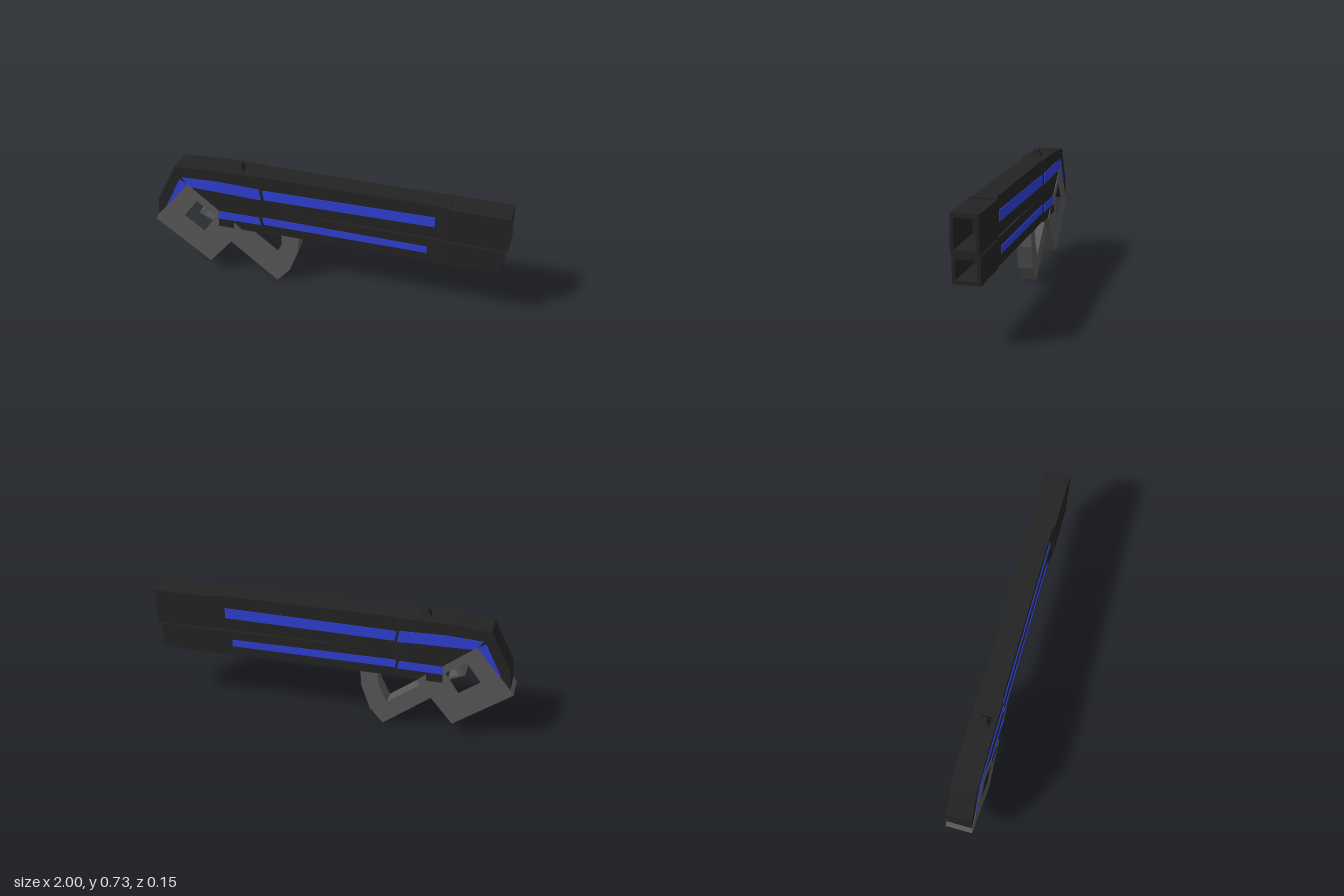
import * as THREE from 'three';

const std = (name, color) => {
  const m = new THREE.MeshStandardMaterial({ color });
  m.name = name;
  return m;
};

export function createModel() {
  const group = new THREE.Group();
  const black = std('black', 0x232323);
  const grey = std('grey', 0x575757);
  const blue = std('blue', 0x2f3fd2);

  const add = (name, geometry, material) => {
    const mesh = new THREE.Mesh(geometry, material);
    mesh.name = name;
    group.add(mesh);
    return mesh;
  };
  const poly = (pts, Type = THREE.Shape) => new Type(pts.map(([x, y]) => new THREE.Vector2(x, y)));

  // Side outline extruded across the width, from z0 to z1
  const slab = (name, pts, z0, z1, material, hole) => {
    const shape = poly(pts);
    if (hole) shape.holes.push(poly(hole, THREE.Path));
    const geo = new THREE.ExtrudeGeometry(shape, { depth: z1 - z0, bevelEnabled: false });
    return add(name, geo.translate(0, 0, z0), material);
  };
  const box = (name, x0, x1, y0, y1, z, material) =>
    add(name, new THREE.BoxGeometry(x1 - x0, y1 - y0, 2 * z)
      .translate((x0 + x1) / 2, (y0 + y1) / 2, 0), material);

  // Rear body, wrapped over the stock block
  slab('rearBody', [
    [-0.98, 0.345], [-0.97, 0.46], [-0.86, 0.68], [-0.62, 0.7], [-0.38, 0.7], [-0.38, 0.335],
    [-0.615, 0.335], [-0.615, 0.435], [-0.79, 0.575],
  ], -0.069, 0.069, black);

  // Long housings: plan outline with a waist, raised in y; edge(x, y) bends the seam side
  const housing = (name, y0, y1, edge) => {
    const half = [[-0.38, 0.069], [-0.34, 0.061], [-0.25, 0.061], [0.35, 0.061], [0.62, 0.061], [0.68, 0.071]];
    const plan = [...half.map(([x, z]) => [x, -z]), ...half.slice().reverse()];
    const geo = new THREE.ExtrudeGeometry(poly(plan), { depth: y1 - y0, bevelEnabled: false });
    geo.rotateX(-Math.PI / 2).translate(0, y0, 0);
    const p = geo.attributes.position;
    for (let i = 0; i < p.count; i++) p.setY(i, edge(p.getX(i), p.getY(i)));
    geo.computeVertexNormals();
    add(name, geo, black);
  };
  housing('upperHousing', 0.488, 0.7, (x, y) => (y < 0.6 && x > 0 ? y + 0.01 : y));
  housing('lowerHousing', 0.335, 0.488, (x, y) => (y > 0.4 && x > 0 ? y - 0.004 : y));
  box('seamCore', -0.3, 0.66, 0.46, 0.53, 0.048, black);

  // Square hollow barrels
  const barrel = (name, x1, y0, y1, h0, h1) => {
    const shape = poly([[-0.072, y0], [0.072, y0], [0.072, y1], [-0.072, y1]]);
    shape.holes.push(poly([[-0.055, h0], [-0.055, h1], [0.055, h1], [0.055, h0]], THREE.Path));
    const geo = new THREE.ExtrudeGeometry(shape, { depth: x1 - 0.67, bevelEnabled: false });
    add(name, geo.rotateY(Math.PI / 2).translate(0.67, 0, 0), black);
  };
  barrel('upperBarrel', 1, 0.492, 0.693, 0.515, 0.67);
  barrel('lowerBarrel', 0.975, 0.338, 0.485, 0.357, 0.463);

  // Sight on the top
  const sight = new THREE.CylinderGeometry(0.018, 0.043, 0.037, 4, 1).toNonIndexed();
  sight.rotateY(Math.PI / 4).computeVertexNormals();
  add('sight', sight.translate(-0.498, 0.717, 0.008), black);

  // Stock block with a through hole and a trigger in it
  slab('stock', [
    [-1, 0.315], [-0.79, 0.58], [-0.615, 0.44], [-0.615, 0.385], [-0.53, 0.38], [-0.475, 0.33], [-0.68, 0.08],
  ], -0.073, 0.073, grey, [[-0.74, 0.48], [-0.63, 0.4], [-0.705, 0.285], [-0.82, 0.37]]);
  slab('trigger', [
    [-0.68, 0.455], [-0.735, 0.395], [-0.64, 0.35], [-0.645, 0.37], [-0.7, 0.39], [-0.665, 0.435],
  ], -0.06, 0.06, grey);
  box('stockClamp', -0.615, -0.525, 0.337, 0.385, 0.0735, black);

  // Curved hand guard below the body
  slab('handGuard', [
    [-0.577, 0.23], [-0.288, 0.002], [-0.213, 0.09], [-0.163, 0.23], [-0.155, 0.345],
    [-0.255, 0.345], [-0.26, 0.25], [-0.31, 0.145], [-0.53, 0.315],
  ], -0.043, 0.043, grey);

  // Painted stripes on both sides
  const stripe = (name, pts, z) => {
    slab(name + 'Front', pts, z - 0.004, z, blue);
    slab(name + 'Back', pts, -z, -z + 0.004, blue);
  };
  stripe('upperRearStripe', [
    [-0.82, 0.62], [-0.62, 0.63], [-0.37, 0.623], [-0.36, 0.555], [-0.5, 0.56], [-0.78, 0.565],
  ], 0.0722);
  stripe('stockStripe', [[-0.835, 0.605], [-0.925, 0.42], [-0.9, 0.43], [-0.785, 0.575]], 0.0715);
  stripe('lowerRearStripe', [[-0.615, 0.435], [-0.375, 0.437], [-0.365, 0.39], [-0.615, 0.387]], 0.0722);
  stripe('upperStripe', [[-0.355, 0.615], [0.605, 0.626], [0.605, 0.565], [-0.345, 0.555]], 0.0645);
  stripe('lowerStripe', [[-0.36, 0.437], [0.57, 0.43], [0.57, 0.39], [-0.35, 0.39]], 0.0645);

  return group;
}
